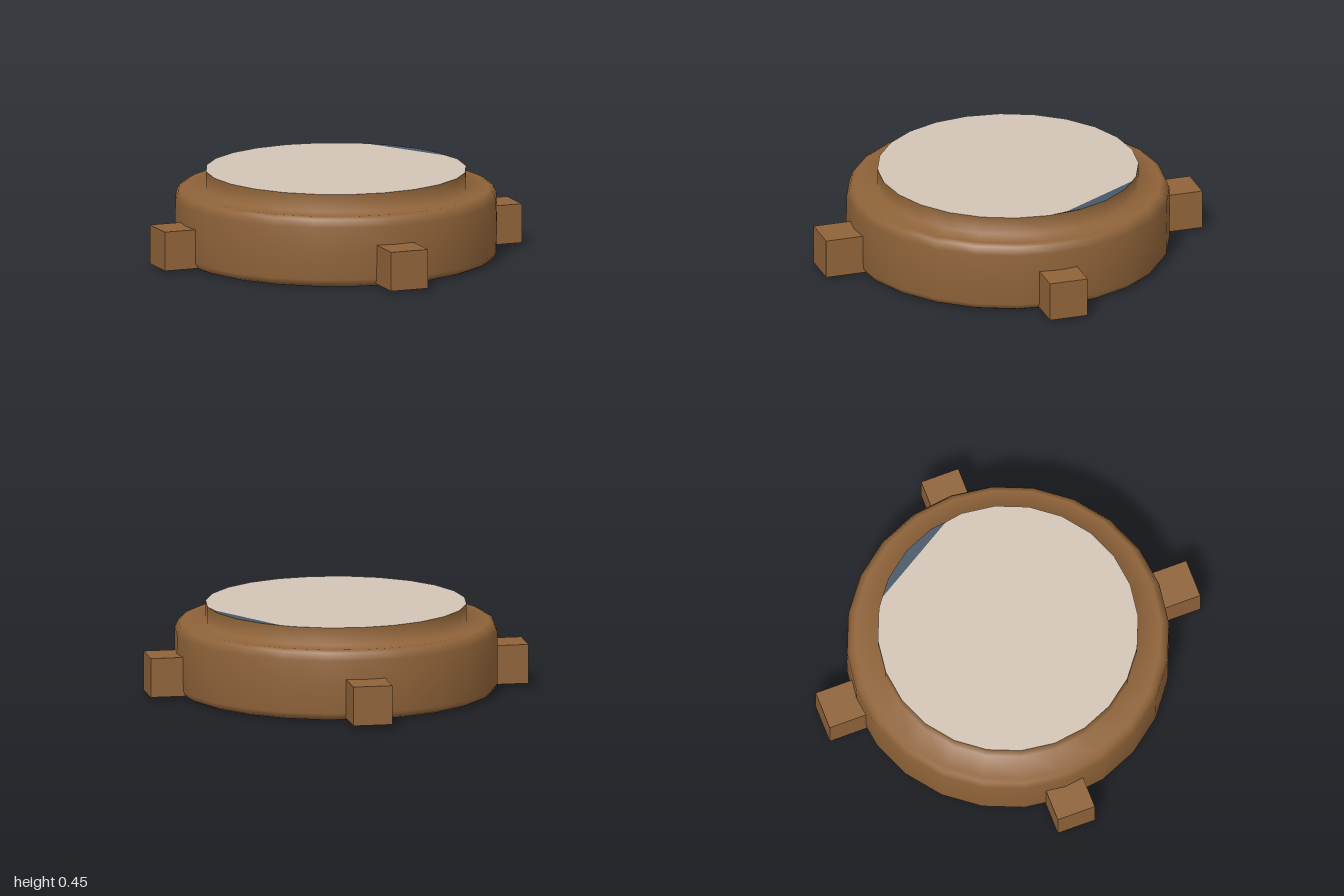
import * as THREE from 'three';

const SIDES = 24;
const material = (name, color) => {
  const m = new THREE.MeshStandardMaterial({ color });
  m.name = name;
  return m;
};

export function createModel() {
  const model = new THREE.Group();
  model.name = 'roundPlatform';
  const wood = material('wood brown', 0x8f6339);
  const cream = material('pale cream', 0xd3c5b7);
  const slate = material('slate blue', 0x485868);

  const add = (name, geometry, mat, parent = model) => {
    const mesh = new THREE.Mesh(geometry, mat);
    mesh.name = name;
    parent.add(mesh);
    return mesh;
  };

  // Bevelled drum with a raised collar
  const profile = [
    [0.775, 0], [0.8, 0.012], [0.816, 0.04], [0.818, 0.18], [0.816, 0.31],
    [0.8, 0.348], [0.775, 0.36], [0.66, 0.36], [0.66, 0.45],
  ].map(([r, y]) => new THREE.Vector2(r, y));
  add('drum', new THREE.LatheGeometry(profile, SIDES), wood);

  // Flat underside
  add('underside', new THREE.CircleGeometry(0.775, SIDES).rotateX(Math.PI / 2), wood);

  // Top face, divided by a chord into a large pale panel and a small slate sliver
  const rim = (a) => new THREE.Vector2(Math.cos(a) * 0.66, Math.sin(a) * 0.66);
  const chordStart = new THREE.Vector2(0.645, 0.09);
  const chordEnd = new THREE.Vector2(0.38, 0.535);
  const step = (Math.PI * 2) / SIDES;
  const panel = (first, last, from, to) => {
    const points = [from];
    for (let i = first; i <= last; i++) points.push(rim(i * step));
    points.push(to);
    return new THREE.ShapeGeometry(new THREE.Shape(points)).rotateX(-Math.PI / 2).translate(0, 0.45, 0);
  };
  add('topSliver', panel(1, 3, chordStart, chordEnd), slate);
  add('topPanel', panel(4, SIDES, chordEnd, chordStart), cream);

  // Four square lugs around the base
  const lugs = [['frontLug', 0, 1], ['leftLug', 1, 0.97], ['backLug', 2, 1], ['rightLug', 3, 0.97]];
  for (const [name, turn, reach] of lugs) {
    const depth = reach - 0.75;
    const lug = add(name, new THREE.BoxGeometry(0.2, 0.2, depth).translate(0, 0.115, reach - depth / 2), wood);
    lug.rotation.y = (turn * Math.PI) / 2;
  }
  return model;
}
